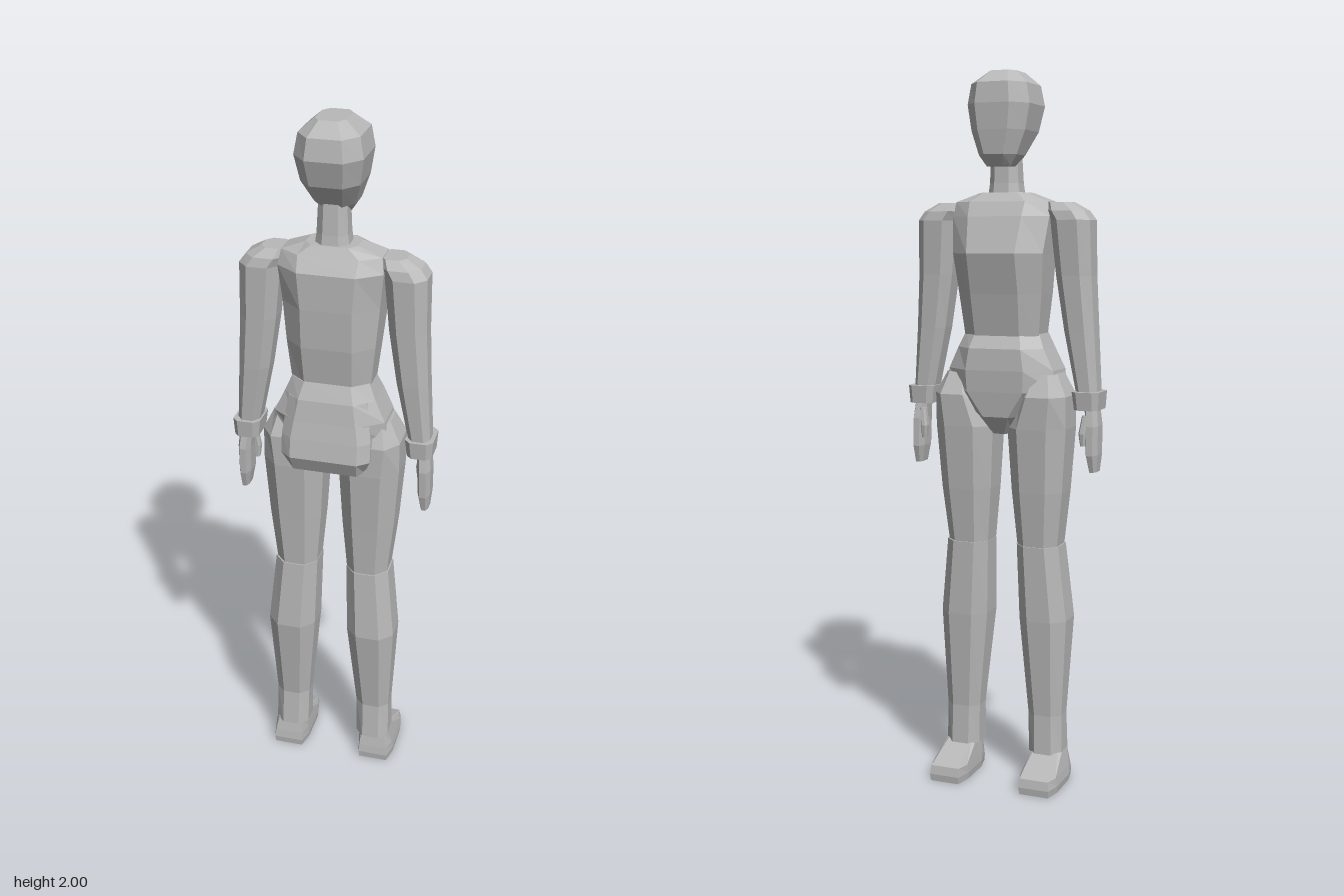
import * as THREE from 'three';

const grey = new THREE.MeshStandardMaterial({ color: 0xb8b8b8, flatShading: true });
grey.name = 'clay grey';

// Eight-sided ring [y, xMin, xMax, zMin, zMax, flat share in x, flat share in z]
function ring([y, x0, x1, z0, z1, kx = 0.5, kz = 0.5]) {
  const cx = (x0 + x1) / 2, w = (x1 - x0) / 2, cz = (z0 + z1) / 2, d = (z1 - z0) / 2;
  return [[1, -kz], [1, kz], [kx, 1], [-kx, 1], [-1, kz], [-1, -kz], [-kx, -1], [kx, -1]]
    .map(([a, b]) => [cx + a * w, y, cz + b * d]);
}

// Closed body lofted through rings listed from bottom to top
function loft(name, sections) {
  const rings = sections.map(ring), n = 8, pos = [];
  const tri = (a, b, c) => pos.push(...a, ...b, ...c);
  for (let s = 0; s < rings.length - 1; s++) {
    for (let i = 0; i < n; i++) {
      const j = (i + 1) % n, lo = rings[s], up = rings[s + 1];
      tri(lo[i], up[i], up[j]);
      tri(lo[i], up[j], lo[j]);
    }
  }
  const bottom = rings[0], top = rings[rings.length - 1];
  for (let i = 1; i < n - 1; i++) {
    tri(bottom[0], bottom[i], bottom[i + 1]);
    tri(top[0], top[i + 1], top[i]);
  }
  const geo = new THREE.BufferGeometry();
  geo.setAttribute('position', new THREE.Float32BufferAttribute(pos, 3));
  geo.computeVertexNormals();
  const mesh = new THREE.Mesh(geo, grey);
  mesh.name = name;
  return mesh;
}

// Mirrored pair: the left side is described, the right side swaps x
function pair(group, name, sections) {
  const flipped = sections.map(([y, x0, x1, ...rest]) => [y, -x1, -x0, ...rest]);
  group.add(loft('left' + name, sections), loft('right' + name, flipped));
}

export function createModel() {
  const model = new THREE.Group();
  model.name = 'mannequin';

  // Head and neck, face towards -z
  model.add(loft('head', [
    [1.745, -0.035, 0.035, -0.07, 0.0],
    [1.775, -0.055, 0.055, -0.093, 0.04],
    [1.84, -0.078, 0.078, -0.1, 0.095, 0.55, 0.55],
    [1.91, -0.09, 0.09, -0.104, 0.117, 0.55, 0.55],
    [1.965, -0.08, 0.08, -0.098, 0.108, 0.55, 0.55],
    [2.0, -0.04, 0.04, -0.045, 0.07, 0.6, 0.6],
  ]));
  model.add(loft('neck', [
    [1.64, -0.05, 0.05, -0.04, 0.06],
    [1.7, -0.042, 0.042, -0.033, 0.052],
    [1.79, -0.038, 0.038, -0.03, 0.045],
  ]));

  // Torso with the bust forward and the shoulder blades behind
  model.add(loft('torso', [
    [1.27, -0.108, 0.108, -0.065, 0.078, 0.6],
    [1.4, -0.122, 0.122, -0.09, 0.095, 0.57],
    [1.51, -0.132, 0.132, -0.117, 0.1, 0.53],
    [1.61, -0.142, 0.142, -0.085, 0.1, 0.55],
    [1.65, -0.135, 0.135, -0.065, 0.075, 0.6],
    [1.675, -0.07, 0.07, -0.04, 0.06, 0.7],
  ]));

  // Hips, narrowing to the crotch
  model.add(loft('pelvis', [
    [1.01, -0.03, 0.03, -0.05, 0.04],
    [1.06, -0.075, 0.075, -0.08, 0.07],
    [1.13, -0.165, 0.165, -0.087, 0.1],
    [1.19, -0.155, 0.155, -0.09, 0.115, 0.55],
    [1.25, -0.127, 0.127, -0.087, 0.105, 0.6],
    [1.295, -0.108, 0.108, -0.062, 0.085, 0.6],
  ]));
  model.add(loft('seat', [
    [1.04, -0.105, 0.105, 0.0, 0.113, 0.85],
    [1.085, -0.125, 0.125, 0.0, 0.134, 0.75, 0.6],
    [1.14, -0.125, 0.125, 0.0, 0.125, 0.75, 0.6],
    [1.25, -0.11, 0.11, 0.0, 0.103, 0.7],
  ]));

  // Arms, cuffs and hands
  pair(model, 'Arm', [
    [1.12, 0.215, 0.275, -0.033, 0.047],
    [1.3, 0.178, 0.264, -0.038, 0.057],
    [1.45, 0.155, 0.256, -0.045, 0.062],
    [1.6, 0.14, 0.253, -0.056, 0.066],
    [1.625, 0.125, 0.235, -0.052, 0.06],
    [1.648, 0.125, 0.195, -0.035, 0.042],
  ]);
  pair(model, 'Cuff', [
    [1.085, 0.213, 0.282, -0.045, 0.054, 0.6, 0.7],
    [1.135, 0.207, 0.285, -0.05, 0.058, 0.6, 0.7],
  ]);
  pair(model, 'Hand', [
    [0.912, 0.252, 0.274, -0.026, 0.032],
    [0.96, 0.244, 0.278, -0.04, 0.045],
    [1.04, 0.242, 0.278, -0.038, 0.048],
    [1.1, 0.236, 0.272, -0.024, 0.036],
  ]);
  pair(model, 'Thumb', [
    [0.985, 0.232, 0.246, -0.036, -0.016],
    [1.02, 0.228, 0.248, -0.042, -0.014],
    [1.07, 0.236, 0.252, -0.034, -0.01],
  ]);

  // Legs with separate thighs and calves
  pair(model, 'Thigh', [
    [0.685, 0.046, 0.163, -0.055, 0.07],
    [0.85, 0.032, 0.181, -0.073, 0.08],
    [1.03, 0.022, 0.194, -0.088, 0.092],
    [1.12, 0.06, 0.194, -0.092, 0.092],
    [1.18, 0.09, 0.165, -0.06, 0.065],
  ]);
  pair(model, 'Calf', [
    [0.085, 0.078, 0.178, -0.04, 0.064],
    [0.2, 0.076, 0.176, -0.036, 0.054],
    [0.48, 0.05, 0.19, -0.056, 0.09],
    [0.695, 0.044, 0.168, -0.06, 0.074],
  ]);

  // Feet, sloping down to the toes
  pair(model, 'Foot', [
    [0, 0.083, 0.19, -0.135, 0.062, 0.8, 0.5],
    [0.02, 0.081, 0.192, -0.137, 0.064, 0.8, 0.5],
    [0.045, 0.083, 0.188, -0.132, 0.06, 0.8, 0.6],
    [0.092, 0.088, 0.178, -0.028, 0.05, 0.8, 0.6],
  ]);
  return model;
}
